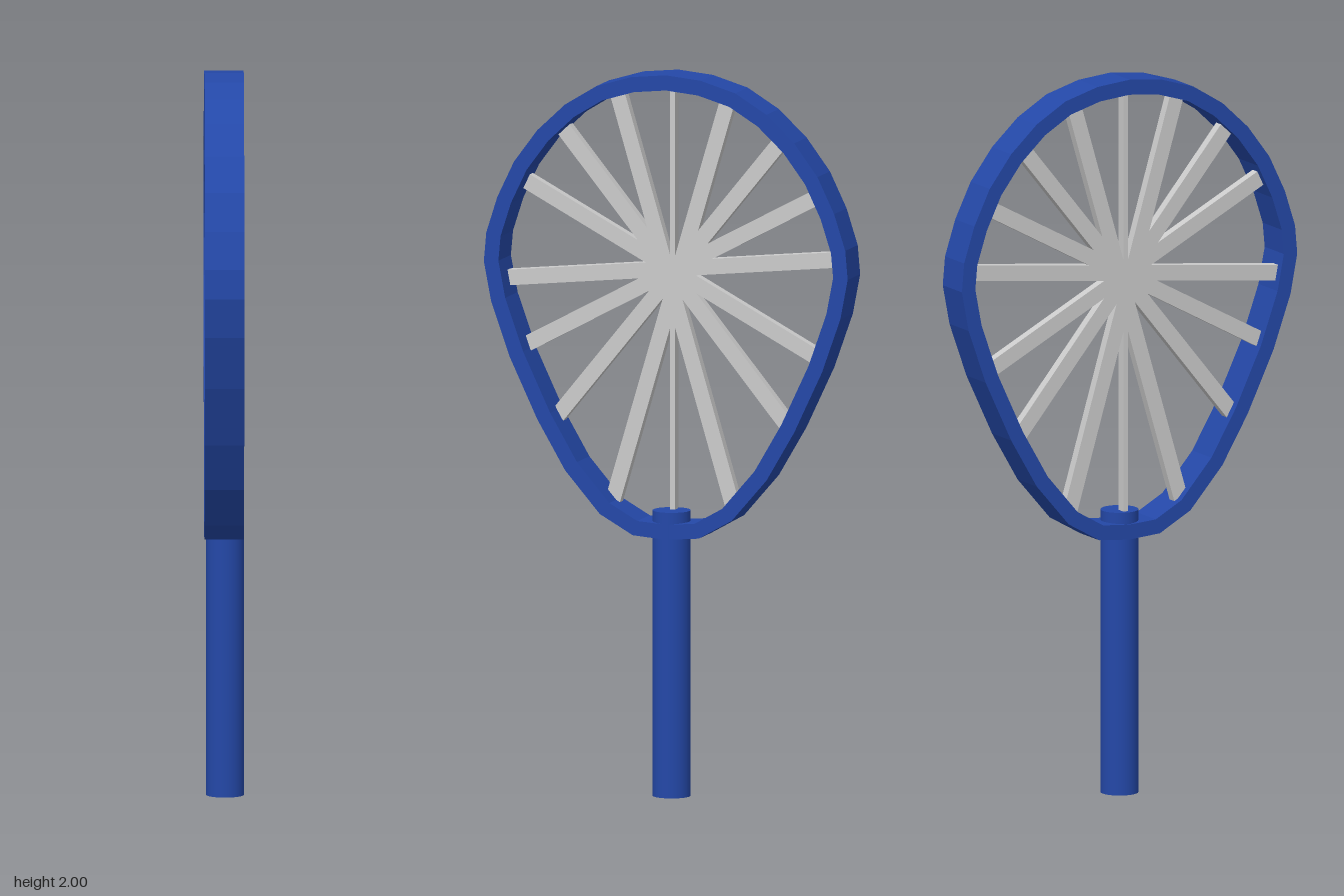
import * as THREE from 'three';

const blue = new THREE.MeshStandardMaterial({ color: 0x2448a8 });
const blueFlat = new THREE.MeshStandardMaterial({ color: 0x2448a8, flatShading: true });
const grey = new THREE.MeshStandardMaterial({ color: 0xcccccc });

// Half of the hoop outline, top to bottom: [sideways, height]
const HALF = [
  [0, 2], [0.1, 1.99], [0.2, 1.96], [0.29, 1.905], [0.37, 1.83], [0.437, 1.74],
  [0.485, 1.64], [0.517, 1.54], [0.524, 1.46], [0.503, 1.35], [0.45, 1.2],
  [0.37, 1.03], [0.29, 0.893], [0.19, 0.777], [0.095, 0.723], [0, 0.715],
];
const RIM = 0.042;

// Spokes cross the whole hoop: [from, to]; `twin` ones are mirrored
const SPOKES = [
  { a: [0.16, 1.935], b: [-0.175, 0.8], twin: true },
  { a: [0.325, 1.84], b: [-0.335, 1.03], twin: true },
  { a: [0.435, 1.685], b: [-0.425, 1.225], twin: true },
  { a: [0.485, 1.505], b: [-0.485, 1.407] },
  { a: [0, 1.96], b: [0, 0.78], width: 0.015 },
];

function add(group, name, geometry, material) {
  const mesh = new THREE.Mesh(geometry, material);
  mesh.name = name;
  group.add(mesh);
  return mesh;
}

// Moves each corner of a closed outline inwards along its averaged normal
function inset(points, d) {
  const n = points.length;
  return points.map((p, i) => {
    const t = points[(i + 1) % n].clone().sub(points[(i + n - 1) % n]).normalize();
    return new THREE.Vector2(p.x + t.y * d, p.y - t.x * d);
  });
}

function spoke(group, a, b, width = 0.043) {
  const dx = b[0] - a[0], dy = b[1] - a[1];
  const g = new THREE.BoxGeometry(width, Math.hypot(dx, dy), 0.027);
  g.rotateZ(Math.atan2(dy, dx) - Math.PI / 2);
  g.translate((a[0] + b[0]) / 2, (a[1] + b[1]) / 2, 0);
  g.rotateY(Math.PI / 2);
  add(group, 'spoke', g, grey);
}

export function createModel() {
  const model = new THREE.Group();
  model.name = 'racket';

  // Teardrop hoop, extruded across x; the hole runs opposite to the outline
  const outline = [...HALF, ...HALF.slice(1, -1).reverse().map(([u, v]) => [-u, v])]
    .map(([u, v]) => new THREE.Vector2(u, v));
  const shape = new THREE.Shape(outline);
  shape.holes.push(new THREE.Path(inset(outline, RIM).reverse()));
  const hoop = new THREE.ExtrudeGeometry(shape, { depth: 0.108, bevelEnabled: false });
  hoop.translate(0, 0, -0.055);
  hoop.rotateY(Math.PI / 2);
  add(model, 'hoop', hoop, blueFlat);

  // Crossing flat spokes, set slightly to one side of the hoop
  const spokes = new THREE.Group();
  spokes.name = 'spokes';
  for (const { a, b, width, twin } of SPOKES) {
    spoke(spokes, a, b, width);
    if (twin) spoke(spokes, [-a[0], a[1]], [-b[0], b[1]], width);
  }
  spokes.position.x = -0.02;
  model.add(spokes);

  // Round handle, its top poking through the hoop
  const handle = add(model, 'handle', new THREE.CylinderGeometry(0.052, 0.052, 0.79, 32), blue);
  handle.position.set(0.002, 0.395, 0);

  return model;
}
